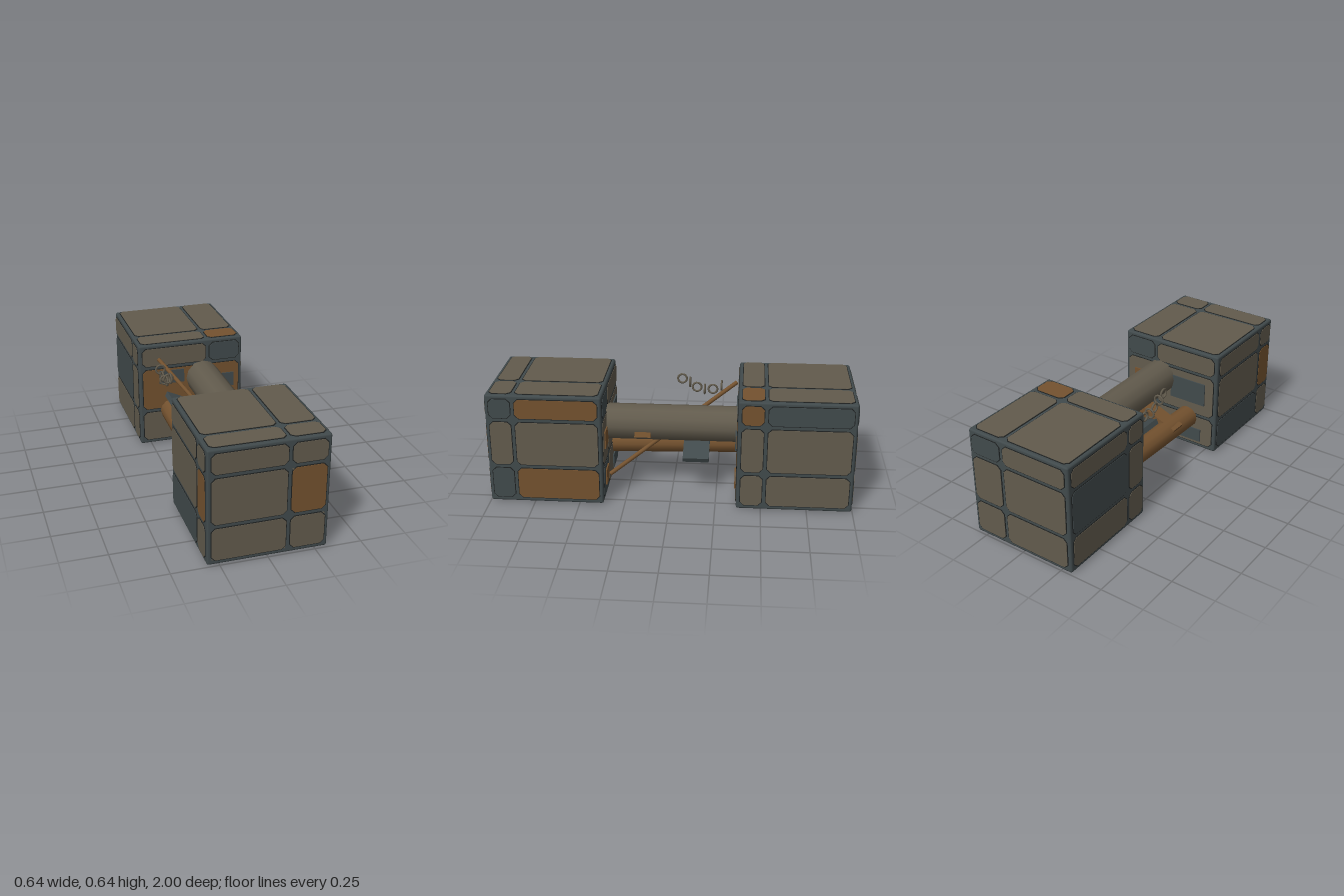
import * as THREE from 'three';
import { RoundedBoxGeometry } from 'three/addons/geometries/RoundedBoxGeometry.js';

const mat = (name, color) => Object.assign(new THREE.MeshStandardMaterial({ color }), { name });

export function createModel() {
  const model = new THREE.Group();
  model.name = 'scrapModule';
  const M = {
    T: mat('dull tan', 0x625b4d),
    R: mat('rust', 0x74522f),
    B: mat('blue grey', 0x414a4c),
    D: mat('dark trim', 0x1f2222),
  };
  const add = (parent, name, geo, m) => {
    const mesh = new THREE.Mesh(geo, m);
    mesh.name = name;
    parent.add(mesh);
    return mesh;
  };

  // Rectangle with cut corners, extruded outwards
  const plate = (u0, u1, v0, v1, cut, depth) => {
    const s = new THREE.Shape([
      [u0 + cut, v0], [u1 - cut, v0], [u1, v0 + cut], [u1, v1 - cut],
      [u1 - cut, v1], [u0 + cut, v1], [u0, v1 - cut], [u0, v0 + cut],
    ].map(([x, y]) => new THREE.Vector2(x, y)));
    return new THREE.ExtrudeGeometry(s, { depth, bevelEnabled: false });
  };

  // Panel seams along each axis, relative to the cube centre
  const seams = {
    x: [-0.305, 0.102, 0.305],
    y: [-0.3, -0.1, 0.173, 0.305],
    z: [-0.305, 0.165, 0.305],
  };
  // Face: horizontal axis and sign, vertical axis and sign, normal
  const faces = {
    front: ['x', 1, 'y', 1, [0, 0, 1]],
    back: ['x', -1, 'y', 1, [0, 0, -1]],
    left: ['z', -1, 'y', 1, [1, 0, 0]],
    right: ['z', 1, 'y', 1, [-1, 0, 0]],
    top: ['x', 1, 'z', -1, [0, 1, 0]],
    bottom: ['x', 1, 'z', 1, [0, -1, 0]],
  };
  const axis = (a, s) => new THREE.Vector3(a === 'x' ? s : 0, a === 'y' ? s : 0, a === 'z' ? s : 0);

  // Armoured cube; colours are rows from low to high, each along the axis upwards
  function armourCube(name, z, colours, patches) {
    const cube = new THREE.Group();
    cube.name = name;
    cube.position.set(0, 0.32, z);
    model.add(cube);
    add(cube, 'frame', new RoundedBoxGeometry(0.63, 0.63, 0.63, 1, 0.012), M.B);
    for (const [side, [ua, us, va, vs, n]] of Object.entries(faces)) {
      const face = new THREE.Group();
      face.name = side + 'Face';
      face.setRotationFromMatrix(new THREE.Matrix4().makeBasis(axis(ua, us), axis(va, vs), new THREE.Vector3(...n)));
      cube.add(face);
      const U = seams[ua], V = seams[va];
      colours[side].forEach((row, j) => [...row].forEach((c, i) => {
        const us2 = [U[i] + 0.008, U[i + 1] - 0.008].map((u) => u * us).sort((a, b) => a - b);
        const vs2 = [V[j] + 0.008, V[j + 1] - 0.008].map((v) => v * vs).sort((a, b) => a - b);
        const trim = add(face, 'panelTrim', plate(...us2, ...vs2, 0.022, 0.014), M.D);
        trim.position.z = 0.304;
        const e = 0.004;
        const panel = add(face, 'panel', plate(us2[0] + e, us2[1] - e, vs2[0] + e, vs2[1] - e, 0.02, 0.003), M[c]);
        panel.position.z = 0.317;
      }));
      // Patches: x, y from the ground, width, height, colour
      for (const [x, y, w, h, c] of patches[side] || []) {
        const p = add(face, 'patch', new THREE.BoxGeometry(w, h, 0.008), M[c]);
        p.position.set(x * us, y - 0.32, 0.323);
      }
    }
    return cube;
  }

  const frontCube = armourCube('frontCube', 0.68, {
    front: ['TT', 'TR', 'TT'],
    back: ['TB', 'TT', 'TB'],
    left: ['RB', 'TT', 'RB'],
    right: ['BT', 'TR', 'TT'],
    top: ['TT', 'TT'],
    bottom: ['TT', 'TR'],
  }, { back: [[-0.125, 0.37, 0.23, 0.14, 'B'], [-0.14, 0.09, 0.16, 0.08, 'B'], [0.2, 0.36, 0.1, 0.1, 'R'], [0.19, 0.13, 0.09, 0.09, 'R']] });
  armourCube('rearCube', -0.68, {
    front: ['TT', 'RR', 'TB'],
    back: ['TT', 'TT', 'TB'],
    left: ['TT', 'TT', 'BR'],
    right: ['TT', 'BT', 'TT'],
    top: ['TT', 'TR'],
    bottom: ['TB', 'TT'],
  }, { front: [[-0.12, 0.43, 0.15, 0.08, 'B'], [0.22, 0.37, 0.085, 0.085, 'B'], [0.19, 0.13, 0.1, 0.08, 'R']] });

  // Small rivets in the corners of the front panels
  for (const [x, y] of [[0.118, 0.475], [0.286, 0.204], [-0.288, 0.038], [0.085, 0.038]]) {
    const r = add(frontCube, 'rivet', new THREE.CylinderGeometry(0.005, 0.005, 0.006, 6), M.T);
    r.rotation.x = Math.PI / 2;
    r.position.set(x, y - 0.32, 0.315);
  }

  // Round bar between two points
  function bar(name, a, b, radius, sides, m) {
    const A = new THREE.Vector3(...a), B = new THREE.Vector3(...b);
    const mesh = add(model, name, new THREE.CylinderGeometry(radius, radius, A.distanceTo(B), sides), m);
    mesh.position.copy(A).lerp(B, 0.5);
    mesh.quaternion.setFromUnitVectors(new THREE.Vector3(0, 1, 0), B.clone().sub(A).normalize());
  }
  bar('mainPipe', [0.07, 0.405, 0.37], [0.07, 0.405, -0.37], 0.1, 12, M.T);
  bar('lowerPipe', [-0.125, 0.195, 0.37], [-0.125, 0.215, -0.37], 0.065, 12, M.R);
  bar('looseRod', [0.17, 0.12, 0.345], [-0.2, 0.55, -0.35], 0.012, 8, M.R);

  // Sloping straps across the pipes
  for (const [name, x, y, z, len, width, angle, m] of [
    ['greyStrap', -0.015, 0.305, -0.135, 0.4, 0.145, -0.45, M.B],
    ['rustStrap', -0.007, 0.295, 0.16, 0.385, 0.09, 0.38, M.R],
  ]) {
    const s = add(model, name, new THREE.BoxGeometry(len, 0.03, width), m);
    s.position.set(x, y, z);
    s.rotation.z = angle;
  }

  // Sagging chain, its links turned a quarter each time
  [[0.56, -0.035], [0.54, -0.08], [0.51, -0.12], [0.498, -0.165], [0.5, -0.212], [0.523, -0.262]].forEach(([y, z], i) => {
    const link = add(model, 'chainLink', new THREE.TorusGeometry(0.026, 0.006, 6, 14), M.T);
    link.position.set(-0.213, y, z);
    if (i % 2 === 0) link.rotation.y = Math.PI / 2;
  });
  return model;
}
